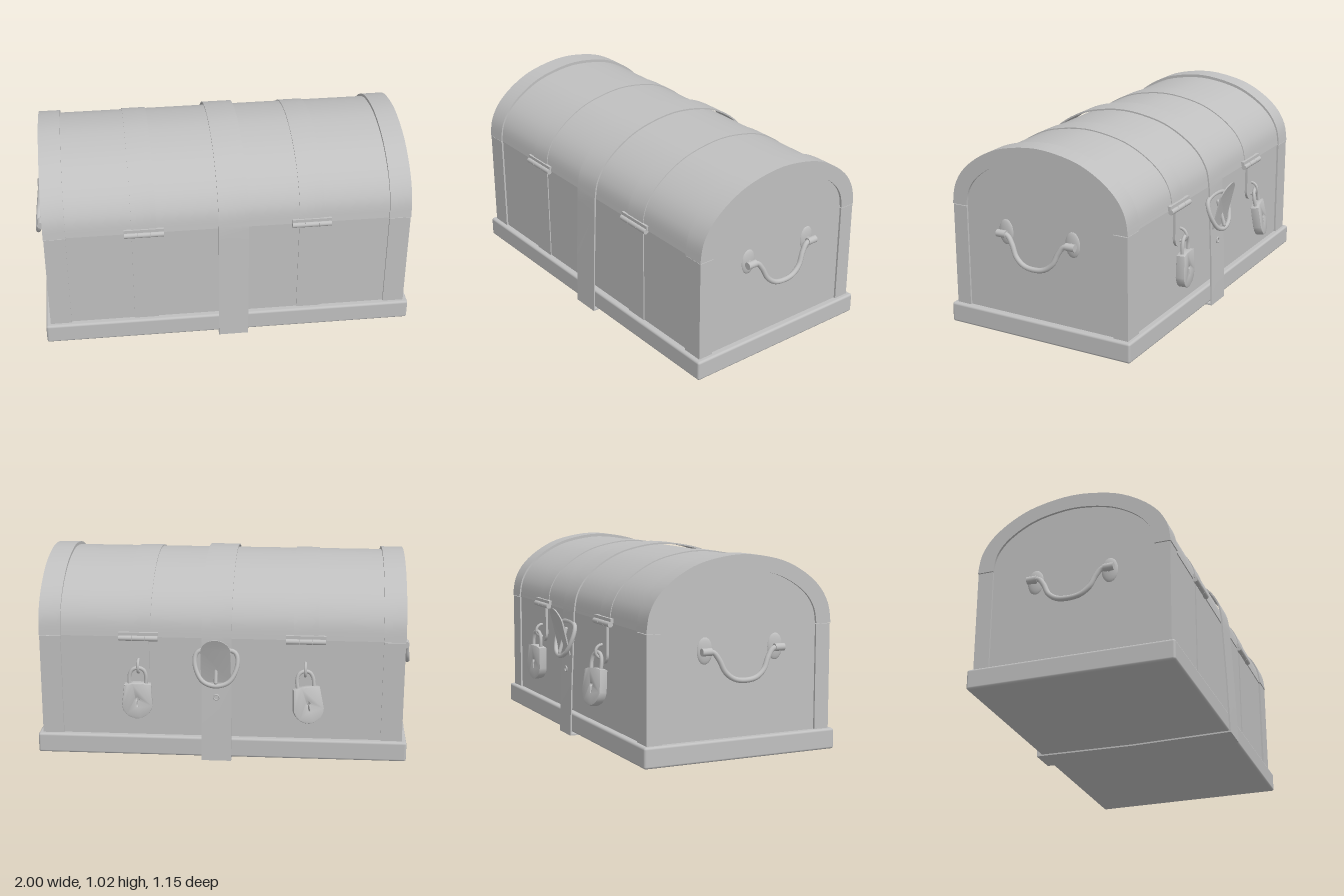
import * as THREE from 'three';
import { toCreasedNormals } from 'three/addons/utils/BufferGeometryUtils.js';
import { RoundedBoxGeometry } from 'three/addons/geometries/RoundedBoxGeometry.js';

const ZC = 0.04;      // middle of the chest, front to back
const SEAM = 0.668;   // height where the lid meets the body
const V3 = (x, y, z) => new THREE.Vector3(x, y, z);

export function createModel() {
  const chest = new THREE.Group();
  chest.name = 'chest';
  const grey = new THREE.MeshStandardMaterial({ color: 0xc0c0c0, side: THREE.DoubleSide });
  grey.name = 'plain grey';

  function add(name, geo, x = 0, y = 0, z = 0, parent = chest) {
    const mesh = new THREE.Mesh(geo, grey);
    mesh.name = name;
    mesh.position.set(x, y, z);
    parent.add(mesh);
    return mesh;
  }
  const box = (name, w, h, d, x, y, z, parent) => add(name, new THREE.BoxGeometry(w, h, d), x, y, z, parent);

  // Lid curve from one spring point over the top to the other
  function arch(hw, top) {
    const half = [[1, 0], [0.965, 0.28], [0.85, 0.54], [0.64, 0.77], [0.38, 0.925]];
    const pts = [...half, [0, 1], ...half.map(([u, v]) => [-u, v]).reverse()]
      .map(([u, v]) => new THREE.Vector2(u * hw, SEAM + v * (top - SEAM)));
    return new THREE.SplineCurve(pts).getPoints(40);
  }
  // Profile (z, y) swept along x
  function sweep(name, shape, x0, x1) {
    const geo = new THREE.ExtrudeGeometry(shape, { depth: x1 - x0, bevelEnabled: false });
    geo.rotateY(Math.PI / 2);
    return add(name, toCreasedNormals(geo, 0.6), x0, 0, ZC);
  }
  const P = (u, v) => new THREE.Vector2(u, v);

  // Body, lid and base tray
  box('body', 1.86, SEAM - 0.06, 0.99, 0, (SEAM + 0.06) / 2, ZC);
  sweep('lid', new THREE.Shape(arch(0.5, 1.01)), -0.93, 0.93);
  add('base', new RoundedBoxGeometry(1.93, 0.105, 1.056, 2, 0.012), 0, 0.078, ZC);

  // Edge bands at both ends, split at the seam
  for (const s of [-1, 1]) {
    const [x0, x1] = s > 0 ? [0.83, 0.943] : [-0.943, -0.83];
    sweep('lidEdgeBand', new THREE.Shape([...arch(0.508, 1.026), ...arch(0.425, 0.951).reverse()]), x0, x1);
    for (const f of [-1, 1]) box('cornerPost', 0.11, 0.55, 0.08, s * 0.886, 0.389, ZC + f * 0.465);
  }

  // Centre strap wrapped right round the chest
  const loop = (o) => [P(0.537 + o, 0.016 - o), P(0.528 + o, 0.3), P(0.514 + o, 0.6), ...arch(0.512 + o, 1.021 + o),
    P(-0.514 - o, 0.6), P(-0.528 - o, 0.3), P(-0.537 - o, 0.016 - o), P(0, 0.008 - o)];
  const strap = new THREE.Shape(loop(0.006));
  strap.holes.push(new THREE.Path(loop(-0.002)));
  sweep('centreStrap', strap, -0.056, 0.099);

  // Buckle ring and loose strap end at the back
  const ringPath = [[-0.095, 0.09], [0.095, 0.09], [0.11, 0.03], [0.07, -0.06], [0, -0.085], [-0.07, -0.06], [-0.11, 0.03]]
    .map(([x, y]) => V3(x, y, 0));
  const ring = add('buckleRing', new THREE.TubeGeometry(new THREE.CatmullRomCurve3(ringPath, true), 56, 0.012, 8, true), 0.022, 0.515, -0.505);
  ring.rotation.x = 0.3;
  const prong = add('bucklePin', new THREE.CapsuleGeometry(0.01, 0.13, 4, 8), 0.022, 0.515, -0.51);
  prong.rotation.x = 0.3;
  const tongueShape = new THREE.Shape();
  tongueShape.moveTo(-0.077, 0);
  tongueShape.lineTo(0.077, 0);
  tongueShape.lineTo(0.077, 0.17);
  tongueShape.absellipse(0, 0.17, 0.077, 0.075, 0, Math.PI, false);
  const tongue = new THREE.ExtrudeGeometry(tongueShape, { depth: 0.007, bevelEnabled: false, curveSegments: 16 });
  const tp = tongue.attributes.position;
  for (let i = 0; i < tp.count; i++) {            // curl the end outwards
    const v = tp.getY(i) / 0.245;
    tp.setZ(i, tp.getZ(i) - 0.068 * v ** 1.5);
  }
  add('strapEnd', toCreasedNormals(tongue, 0.6), 0.022, 0.445, -0.502);
  add('strapEyelet', new THREE.TorusGeometry(0.014, 0.004, 8, 20), 0.022, 0.36, -0.494);

  // Padlock with a keyhole, origin at the shackle top, built facing z
  function padlock(x, z, tiltOut, roll, turn) {
    const lock = new THREE.Group();
    lock.name = 'padlock';
    const s = new THREE.Shape();
    s.moveTo(-0.065, -0.09);
    s.quadraticCurveTo(0, -0.075, 0.065, -0.09);
    s.lineTo(0.075, -0.2);
    s.bezierCurveTo(0.065, -0.25, 0.03, -0.262, 0, -0.268);
    s.bezierCurveTo(-0.03, -0.262, -0.065, -0.25, -0.075, -0.2);
    const key = new THREE.Path();
    key.absarc(0, -0.165, 0.013, -1.1, Math.PI + 1.1, false);
    key.lineTo(-0.008, -0.21);
    key.lineTo(0.008, -0.21);
    s.holes.push(key);
    const g = new THREE.ExtrudeGeometry(s, { depth: 0.036, bevelThickness: 0.005, bevelSize: 0.004, bevelSegments: 2, curveSegments: 10 });
    add('lockBody', toCreasedNormals(g, 0.6), 0, 0, -0.018, lock);
    const u = [[-0.042, -0.1], [-0.042, -0.04], [-0.028, -0.01], [0, 0], [0.028, -0.01], [0.042, -0.04], [0.042, -0.1]];
    add('shackle', new THREE.TubeGeometry(new THREE.CatmullRomCurve3(u.map(([a, b]) => V3(a, b, 0))), 32, 0.01, 8), 0, 0, 0, lock);
    lock.position.set(x, 0.515, z);
    lock.rotation.set(tiltOut, turn, roll);
    chest.add(lock);
  }
  padlock(0.425, -0.505, 0.02, 0.03, 0.12);
  padlock(-0.43, -0.5, 0.17, -0.12, 0.2);

  // Hinge straps, hinges in front and hasps at the back
  for (const x of [-0.435, 0.425]) {
    sweep('lidHingeStrap', new THREE.Shape(arch(0.504, 1.016)), x - 0.063, x + 0.063);
    box('frontHingeStrap', 0.126, 0.53, 0.008, x, 0.395, ZC + 0.497);
    for (const [name, z, f] of [['hinge', 0.545, 1], ['haspHinge', -0.47, -1]]) {
      box(name + 'Leaf', 0.205, 0.022, 0.02, x, 0.683, z - f * 0.006);
      for (let i = -1; i <= 1; i++) {
        const k = add(name + 'Knuckle', new THREE.CylinderGeometry(0.014, 0.014, 0.066, 14), x + i * 0.068, 0.664, z + f * 0.004);
        k.rotation.z = Math.PI / 2;
      }
    }
    // Hasp plate with rounded end and the staple through it
    const hasp = new THREE.Shape();
    hasp.moveTo(-0.055, 0.2);
    hasp.lineTo(-0.055, 0.05);
    hasp.absarc(0, 0.05, 0.055, Math.PI, Math.PI * 2, false);
    hasp.lineTo(0.055, 0.2);
    add('haspPlate', toCreasedNormals(new THREE.ExtrudeGeometry(hasp, { depth: 0.014, bevelEnabled: false }), 0.6), x, 0.46, -0.476);
    const staple = add('staple', new THREE.TorusGeometry(0.034, 0.008, 8, 20), x, 0.518, -0.478);
    staple.rotation.y = Math.PI / 2;
  }

  // Drop handles on both ends
  const halfGrip = [[0.215, 0.565, 0.962], [0.165, 0.562, 0.964], [0.135, 0.525, 0.97], [0.105, 0.465, 0.979], [0.06, 0.43, 0.984]];
  for (const s of [-1, 1]) {
    const pts = [...halfGrip, [0, 0.42, 0.986], ...halfGrip.map(([z, y, x]) => [-z, y, x]).reverse()];
    const curve = new THREE.CatmullRomCurve3(pts.map(([z, y, x]) => V3(s * x, y, z + ZC)));
    add('handleGrip', new THREE.TubeGeometry(curve, 56, 0.0135, 10));
    for (const f of [-1, 1]) {
      const rose = add('handleRose', new THREE.SphereGeometry(1, 24, 12), s * 0.928, 0.567, ZC + f * 0.194);
      rose.scale.set(0.014, 0.067, 0.043);
      const end = add('handleEnd', new THREE.CylinderGeometry(0.019, 0.019, 0.052, 14), s * 0.962, 0.566, ZC + f * 0.2);
      end.rotation.x = Math.PI / 2;
      const stem = add('handleStem', new THREE.CylinderGeometry(0.013, 0.013, 0.035, 12), s * 0.945, 0.566, ZC + f * 0.195);
      stem.rotation.z = Math.PI / 2;
    }
  }
  return chest;
}
